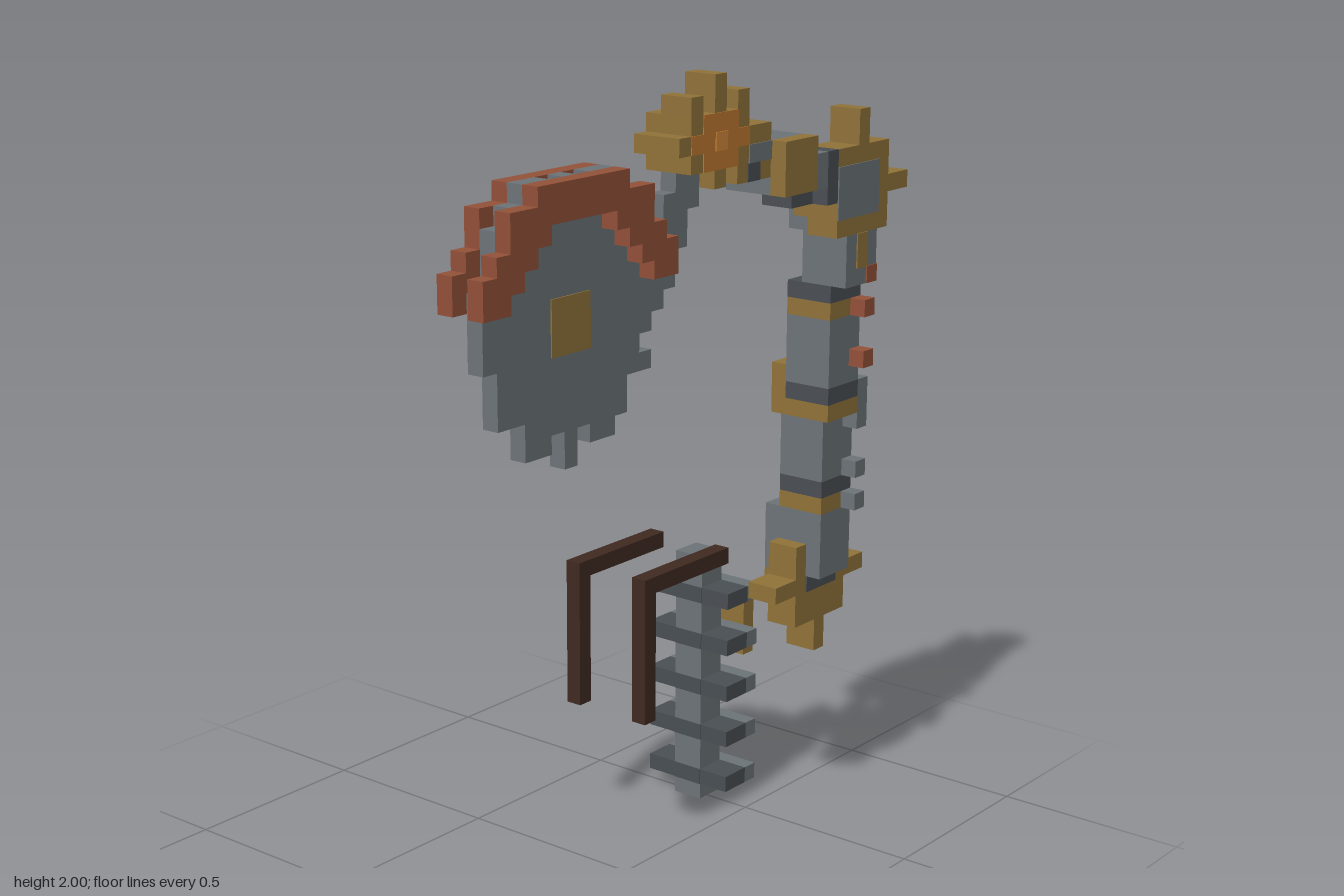
import * as THREE from 'three';
import { mergeGeometries } from 'three/addons/utils/BufferGeometryUtils.js';

const V = 2 / 47; // edge of one block

const material = (name, color) => {
  const m = new THREE.MeshStandardMaterial({ color });
  m.name = name;
  return m;
};

// One box from block limits [x0, x1, y0, y1, z0, z1]
function block([x0, x1, y0, y1, z0, z1]) {
  return new THREE.BoxGeometry((x1 - x0) * V, (y1 - y0) * V, (z1 - z0) * V)
    .translate((x0 + x1) / 2 * V, (y0 + y1) / 2 * V, (z0 + z1) / 2 * V);
}

// Rows [y, z0, z1] of a flat stepped outline, given a thickness in x
const rows = (x0, x1, list) => list.map(([y, z0, z1]) => [x0, x1, y, y + 1, z0, z1]);

export function createModel() {
  const steel = material('steel', 0x6e757a);
  const dark = material('dark steel', 0x4b5056);
  const brass = material('brass', 0x93743a);
  const rust = material('rust red', 0x95523a);
  const leather = material('dark leather', 0x412a22);
  const amber = material('amber', 0xc27a32);
  const glow = material('bright amber', 0xd68a3c);

  const model = new THREE.Group();
  let target = model;
  const part = (name, mat, boxes) => {
    const mesh = new THREE.Mesh(mergeGeometries(boxes.map(block)), mat);
    mesh.name = name;
    target.add(mesh);
  };
  const group = (name) => {
    target = new THREE.Group();
    target.name = name;
    model.add(target);
  };

  // Back harness: spine, ribs, power plate and shoulder straps
  group('harness');
  part('spine', steel, [[-5, -3, 0, 16, -13, -11]]);
  const ribs = [1, 4, 7, 10, 13];
  part('ribs', dark, ribs.flatMap((y) => [
    [-7, -5, y, y + 1, -13, -11], [-3, -1, y, y + 1, -13, -11],
    [-5, -3, y, y + 1, -11.05, -10.95],
  ]));
  part('ribBacks', steel, ribs.map((y) => [-7, -1, y, y + 1, -14, -13]));
  part('powerPlate', brass, [[-6, -2, 9, 13, -15, -14]]);
  part('powerCore', amber, [[-5, -3, 10, 12, -15.08, -15]]);
  for (const x of [-7, -2]) {
    part('shoulderStrap', leather, [
      [x, x + 1, 16, 17, -11, -3], [x, x + 1, 8, 16, -4, -3],
    ]);
  }

  // Shoulder gear with its caps
  group('shoulderJoint');
  part('shoulderGear', brass, [
    [2, 4, 13, 18, -16, -11], [2, 4, 15, 16, -18, -16],
    [2, 4, 15, 16, -11, -9], [2, 4, 11, 13, -14, -13],
  ]);
  part('innerCap', steel, [[1, 2, 16, 20, -15, -12]]);
  part('innerCapFoot', brass, [[1, 2, 14, 16, -15, -12]]);
  part('outerCap', steel, [[4, 5, 16, 18, -15, -12]]);
  part('outerCapFoot', dark, [[4, 4.1, 15, 16, -15, -12]]);

  // Lower arm with bands and side studs
  group('lowerArm');
  part('lowerArmBody', steel, [
    [2, 5, 18, 20, -15, -12], [2, 5, 22, 26, -15, -12], [3, 5, 26, 28, -15, -13],
  ]);
  part('lowerBrassBand', brass, [[2, 5, 20, 21, -15, -12]]);
  part('lowerDarkBand', dark, [[2, 5, 21, 22, -15, -12]]);
  part('sideStuds', steel, [20, 22, 25].map((y) => [5, 6, y, y + 1, -15, -14]));
  part('upperStud', steel, [[5, 6, 26, 28, -15, -14]]);

  // Upper arm
  group('upperArm');
  part('upperArmFoot', brass, [[3, 6, 26, 27, -14, -11], [2, 3, 26, 29, -14, -11]]);
  part('upperArmBody', steel, [[3, 6, 28, 32, -14, -11], [4, 7, 34, 37, -14, -11]]);
  part('upperBrassBand', brass, [[3, 6, 32, 33, -14, -11]]);
  part('upperDarkBands', dark, [[3, 6, 27, 28, -14, -11], [3, 6, 33, 34, -14, -11]]);
  part('redStuds', rust, [[6, 7, 29, 30, -14, -13], [6, 7, 32, 33, -14, -13],
    [7, 7.08, 34, 35, -14, -13]]);

  // Elbow gear
  group('elbowJoint');
  part('elbowGear', brass, [
    [5, 7, 37, 42, -15, -10], [5, 7, 39, 40, -17, -15],
    [5, 7, 42, 44, -13, -12], [7, 7.08, 35, 37, -13, -12], [4, 5, 38, 42, -11, -10],
  ]);
  part('elbowFace', steel, [[7, 7.08, 38, 41, -14, -10]]);
  part('elbowInner', steel, [[3, 5, 37, 41, -14, -11]]);

  // Forearm running forward to the saw
  group('forearm');
  part('forearmCollar', dark, [[4, 7, 39, 42, -10, -9], [4, 6, 39, 40, -9, -7]]);
  part('forearmBody', steel, [[3, 7, 40, 42, -9, -8], [3, 6, 40, 43, -8, -5]]);
  part('forearmPlate', brass, [[6, 7, 40, 43, -8, -5]]);
  part('forearmNeck', brass, [[3, 6, 42, 44, -5, -3], [4, 6, 41, 42, -5, -4]]);
  part('neckUnderside', dark, [[3, 6.06, 41, 42, -4, -2.9]]);
  part('neckSide', steel, [[6, 6.08, 42, 43, -5, -3]]);

  // Wrist gear with a glowing hub
  group('wristJoint');
  part('wristGear', brass, [
    [3, 6, 42, 45, -3, 2], [3, 6, 43, 44, 2, 3], [3, 6, 43, 44, -4, -3],
    [4, 6, 45, 47, -1, 0], [4, 6, 41, 42, -1, 0],
    [4, 6, 45, 46, 1, 2], [4, 6, 45, 46, -3, -2],
    [4, 6, 41, 42, -3, -2],
  ]);
  for (const [a, b, c, d] of [[6, 6.06, 6.06, 6.12], [2.94, 3, 2.88, 2.94]]) {
    part('hubGlow', amber, [[a, b, 42, 45, -2, 1], [a, b, 43, 44, -3, -2], [a, b, 43, 44, 1, 2]]);
    part('hubCore', glow, [[c, d, 43, 44, -1, 0]]);
  }
  part('sawArm', steel, [
    [4, 5, 40, 42, 0, 2], [4, 5, 38, 41, 1, 3], [4, 5, 36, 40, 2, 3], [4, 5, 37, 39, 3, 4],
  ]);

  // Circular saw with stepped teeth and a brass hub
  group('saw');
  part('blade', steel, rows(4, 5, [
    [28, 10, 11], [29, 12, 14], [29, 10, 11], [29, 7, 9], [30, 6, 14], [31, 6, 16],
    [32, 4, 16], [33, 5, 16], [34, 4, 17], [35, 3, 17], [36, 3, 17], [37, 4, 17],
    [38, 5, 16], [39, 5, 16], [40, 5, 16], [41, 6, 15], [42, 7, 9], [42, 10, 11], [42, 12, 14],
  ]));
  part('bladeHub', brass, [[3.92, 5.08, 34, 37, 9, 12]]);

  // Twin guards over the blade
  for (const x of [3, 5]) {
    part('bladeGuard', rust, rows(x, x + 1, [
      [42, 7, 14], [41, 5, 16], [40, 5, 8], [40, 13, 16], [39, 4, 7], [39, 14, 17],
      [38, 3, 6], [38, 15, 18], [37, 3, 5], [37, 16, 18],
    ]));
  }
  return model;
}
